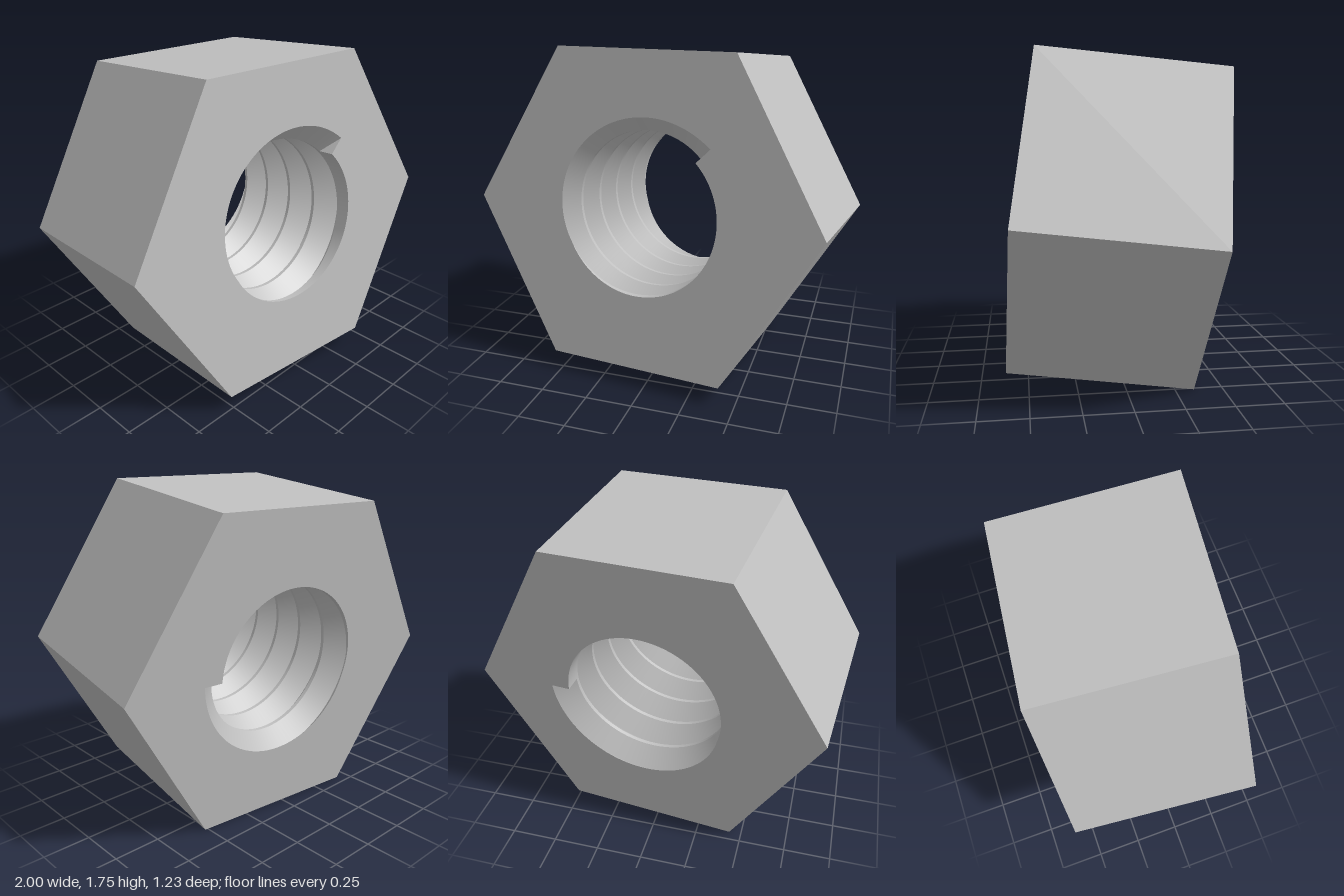
import * as THREE from 'three';
import { toCreasedNormals } from 'three/addons/utils/BufferGeometryUtils.js';

const R = 0.955;        // hexagon corner radius
const L = 0.975;        // nut thickness
const MINOR = 0.425;    // bore radius at the thread crests
const MAJOR = 0.527;    // bore radius at the groove root
const PITCH = 0.2;
const HALF = 0.09;      // half width of the V groove
const START = 45;       // angle where the groove enters the front face
const END = 315;        // turn, in degrees past START, where it leaves the back face
const STEP = 3;

// Point in the bore: turn in degrees, depth behind the front face, radius
function point(turn, depth, r) {
  const a = THREE.MathUtils.degToRad(turn + START);
  return new THREE.Vector3(r * Math.cos(a), r * Math.sin(a), L / 2 - depth);
}

// Depths of the groove roots at one turn angle
function roots(turn, last) {
  const list = [];
  for (let k = 0; k <= last; k++) list.push(PITCH * (turn / 360 + k));
  return list;
}

function radius(turn, depth, last) {
  let r = MINOR;
  for (const c of roots(turn, last)) {
    r = Math.max(r, MAJOR - (MAJOR - MINOR) * Math.abs(depth - c) / HALF);
  }
  return r;
}

// Axial section of the bore
function section(turn, last) {
  const depths = [0];
  for (const c of roots(turn, last)) depths.push(c - HALF, c, c + HALF);
  depths.push(L);
  return depths.map((d) => {
    const depth = THREE.MathUtils.clamp(d, 0, L);
    return point(turn, depth, radius(turn, depth, last));
  });
}

function fromTriangles(points) {
  const g = new THREE.BufferGeometry().setFromPoints(points);
  g.computeVertexNormals();
  return g;
}

// Helical V thread cut into the bore
function boreGeometry() {
  const points = [];
  const area = new THREE.Triangle();
  const add = (a, b, c) => {
    if (area.set(a, b, c).getArea() > 1e-8) points.push(a, b, c);
  };
  for (let t = 0; t < 360; t += STEP) {
    const last = t < END ? 4 : 3;
    const a = section(t, last);
    const b = section(t + STEP, last);
    for (let i = 0; i < a.length - 1; i++) {
      add(a[i], b[i], a[i + 1]);
      add(b[i], b[i + 1], a[i + 1]);
    }
  }
  return toCreasedNormals(fromTriangles(points), 0.4);
}

// Flat walls where the groove stops at each face
function grooveEndGeometry() {
  return fromTriangles([
    point(0, 0, MINOR), point(0, 0, MAJOR), point(0, HALF, MINOR),
    point(END, L, MINOR), point(END, L, MAJOR), point(END, L - HALF, MINOR),
  ]);
}

// Hexagonal face with the spiral mouth of the thread
function faceGeometry(rim, side) {
  const corners = [];
  for (let i = 0; i < 6; i++) {
    const a = i * Math.PI / 3;
    corners.push(new THREE.Vector2(side * R * Math.cos(a), R * Math.sin(a)));
  }
  const shape = new THREE.Shape(corners);
  shape.holes.push(new THREE.Path(rim.map((p) => new THREE.Vector2(side * p.x, p.y))));
  const g = new THREE.ShapeGeometry(shape);
  g.translate(0, 0, L / 2);
  if (side < 0) g.rotateY(Math.PI);
  return g;
}

export function createModel() {
  const steel = new THREE.MeshStandardMaterial({ color: 0xc0c0c0 });
  steel.name = 'grey steel';
  const nut = new THREE.Group();
  nut.name = 'hexNut';
  const add = (name, geometry) => {
    const mesh = new THREE.Mesh(geometry, steel);
    mesh.name = name;
    nut.add(mesh);
  };

  // Six outer flats
  let flats = new THREE.CylinderGeometry(R, R, L, 6, 1, true, Math.PI / 2);
  flats.rotateX(Math.PI / 2);
  flats = flats.toNonIndexed();
  flats.computeVertexNormals();
  add('outerFlats', flats);

  // Front and back faces
  const frontRim = [];
  const backRim = [];
  for (let t = 0; t <= 360; t += STEP) {
    frontRim.push(point(t, 0, radius(t, 0, 4)));
    if (t < 360) backRim.push(point(t, L, radius(t, L, t <= END ? 4 : 3)));
    if (t === END) backRim.push(point(t, L, MINOR));
  }
  add('frontFace', faceGeometry(frontRim, 1));
  add('backFace', faceGeometry(backRim, -1));

  // Thread
  add('threadedBore', boreGeometry());
  add('grooveEnds', grooveEndGeometry());

  // Tilt the nut so it rests on its rear lower edge
  const zAxis = new THREE.Vector3(-0.1026, 0.1026, 0.9894).normalize();
  const xAxis = new THREE.Vector3(0, 1, 0).cross(zAxis).normalize();
  const yAxis = zAxis.clone().cross(xAxis);
  nut.quaternion.setFromRotationMatrix(new THREE.Matrix4().makeBasis(xAxis, yAxis, zAxis));
  nut.position.y = 0.875;

  const model = new THREE.Group();
  model.name = 'tiltedNut';
  model.add(nut);
  return model;
}
